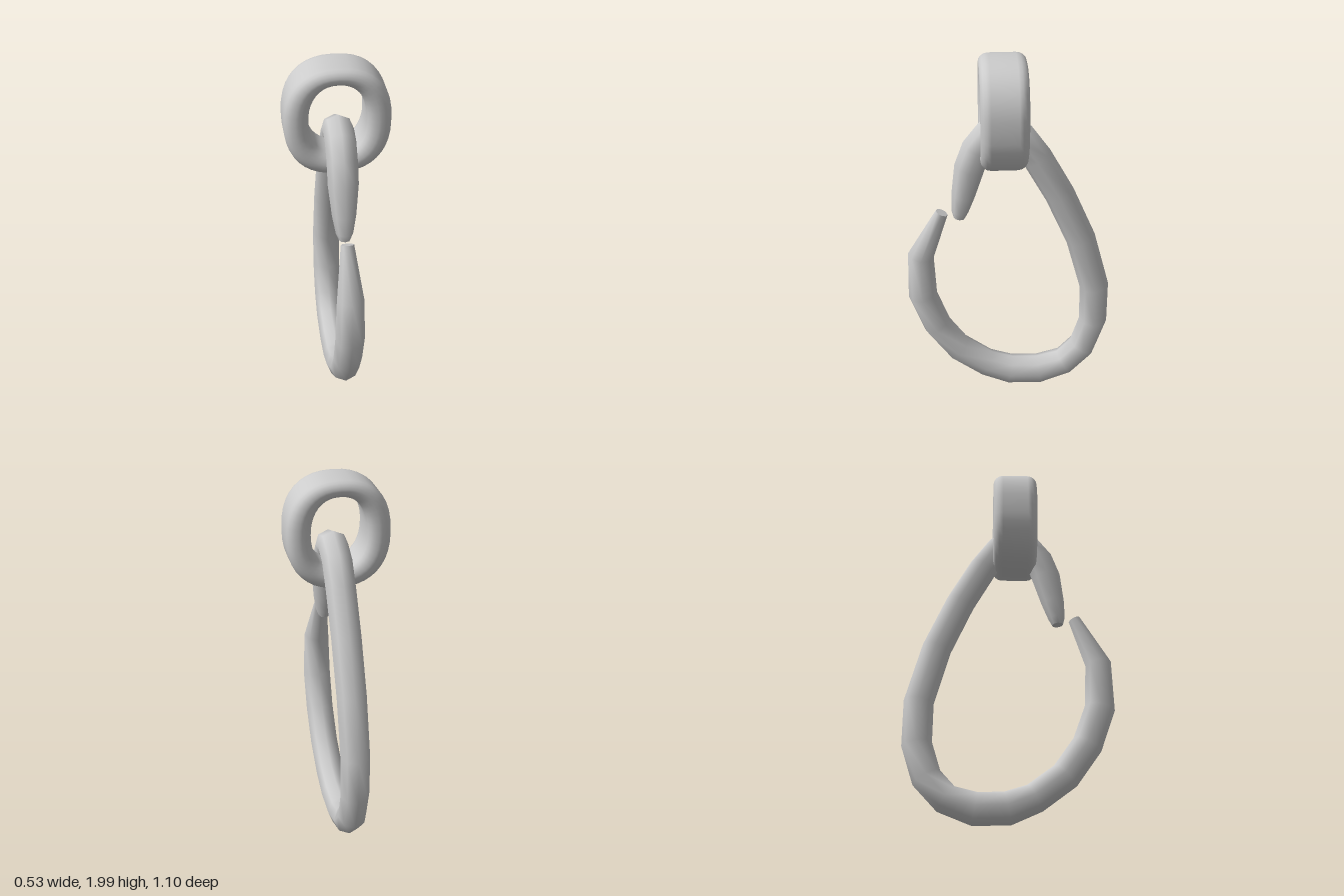
import * as THREE from 'three';

const material = new THREE.MeshStandardMaterial({ color: 0xcccccc });

// Skin a list of equal-length cross-section loops; optionally join last loop to first.
function loft(name, loops, closed) {
  const n = loops[0].length;
  const index = [];
  const rows = closed ? loops.length : loops.length - 1;
  for (let i = 0; i < rows; i++) {
    const k = (i + 1) % loops.length;
    for (let j = 0; j < n; j++) {
      const m = (j + 1) % n;
      const a = i * n + j, b = i * n + m, c = k * n + m, d = k * n + j;
      index.push(a, b, d, b, c, d);
    }
  }
  const geometry = new THREE.BufferGeometry().setFromPoints(loops.flat());
  geometry.setIndex(index);
  geometry.computeVertexNormals();
  const mesh = new THREE.Mesh(geometry, material);
  mesh.name = name;
  return mesh;
}

// Open hook: centre line as [z, y, radius], from lower tip round to upper tip.
function createHook() {
  const R = 0.079, SIDES = 8, X = 0.0135;
  const path = [
    [0.355, 1.15, 0.034], [0.475, 0.89, 0.07], [0.475, 0.637, R], [0.403, 0.435, R],
    [0.286, 0.268, R], [0.13, 0.151, R], [-0.005, 0.098, 0.088], [-0.17, 0.093, 0.088],
    [-0.316, 0.143, R], [-0.416, 0.252, R], [-0.472, 0.43, R], [-0.47, 0.66, R],
    [-0.385, 0.968, R], [-0.265, 1.241, R], [-0.143, 1.46, R], [-0.06, 1.578, R],
    [0.03, 1.626, R], [0.105, 1.6, R], [0.165, 1.52, R], [0.205, 1.41, R],
    [0.24, 1.25, 0.062], [0.259, 1.155, 0.045], [0.263, 1.117, 0.03],
  ];
  const points = path.map(([z, y]) => new THREE.Vector3(X, y, z));
  const axis = new THREE.Vector3(1, 0, 0);
  const direction = (a, b) => points[b].clone().sub(points[a]).normalize();
  const last = points.length - 1;
  const loops = points.map((p, i) => {
    const tangent = new THREE.Vector3();
    if (i > 0) tangent.add(direction(i - 1, i));
    if (i < last) tangent.add(direction(i, i + 1));
    const normal = axis.clone().cross(tangent.normalize());
    const r = path[i][2];
    return Array.from({ length: SIDES }, (_, j) => {
      const a = (j / SIDES) * Math.PI * 2;
      return p.clone()
        .addScaledVector(normal, r * Math.cos(a))
        .addScaledVector(axis, Math.min(r, 0.078) * Math.sin(a));
    });
  });
  // Flat tips: a repeated loop keeps the rim sharp, then collapse to the centre.
  const cap = (i) => Array.from({ length: SIDES }, () => points[i].clone());
  return loft('hook', [cap(0), loops[0], ...loops, loops[last], cap(last)], false);
}

// Wide oval eye with a rounded rectangular section.
function createEye() {
  const SEGMENTS = 40, Z = 0.03, HALF_DEPTH = 0.12;
  const oval = (t, a, b, cy, power) => {
    const c = Math.cos(t), s = Math.sin(t);
    return new THREE.Vector3(
      a * Math.sign(c) * Math.abs(c) ** (2 / power),
      cy + b * Math.sign(s) * Math.abs(s) ** (2 / power), 0);
  };
  // Section in (depth, fraction from inner to outer wall), four rounded corners.
  const section = [];
  for (let corner = 0; corner < 4; corner++) {
    for (let k = 0; k <= 4; k++) {
      const a = (corner + k / 4) * Math.PI / 2;
      const mid = (corner + 0.5) * Math.PI / 2;
      section.push([
        Math.sign(Math.cos(mid)) * (HALF_DEPTH - 0.052) + 0.052 * Math.cos(a),
        0.5 + Math.sign(Math.sin(mid)) * 0.06 + 0.44 * Math.sin(a),
      ]);
    }
  }
  const loops = Array.from({ length: SEGMENTS }, (_, i) => {
    const t = (i / SEGMENTS) * Math.PI * 2;
    const outer = oval(t, 0.266, 0.2875, 1.7125, 2.35);
    const inner = oval(t, 0.143, 0.188, 1.722, 2.25);
    return section.map(([depth, f]) => {
      const p = inner.clone().lerp(outer, f);
      p.z = Z + depth;
      return p;
    });
  });
  return loft('eye', loops, true);
}

export function createModel() {
  const group = new THREE.Group();
  group.name = 'hookWithEye';
  group.add(createHook(), createEye());
  return group;
}
